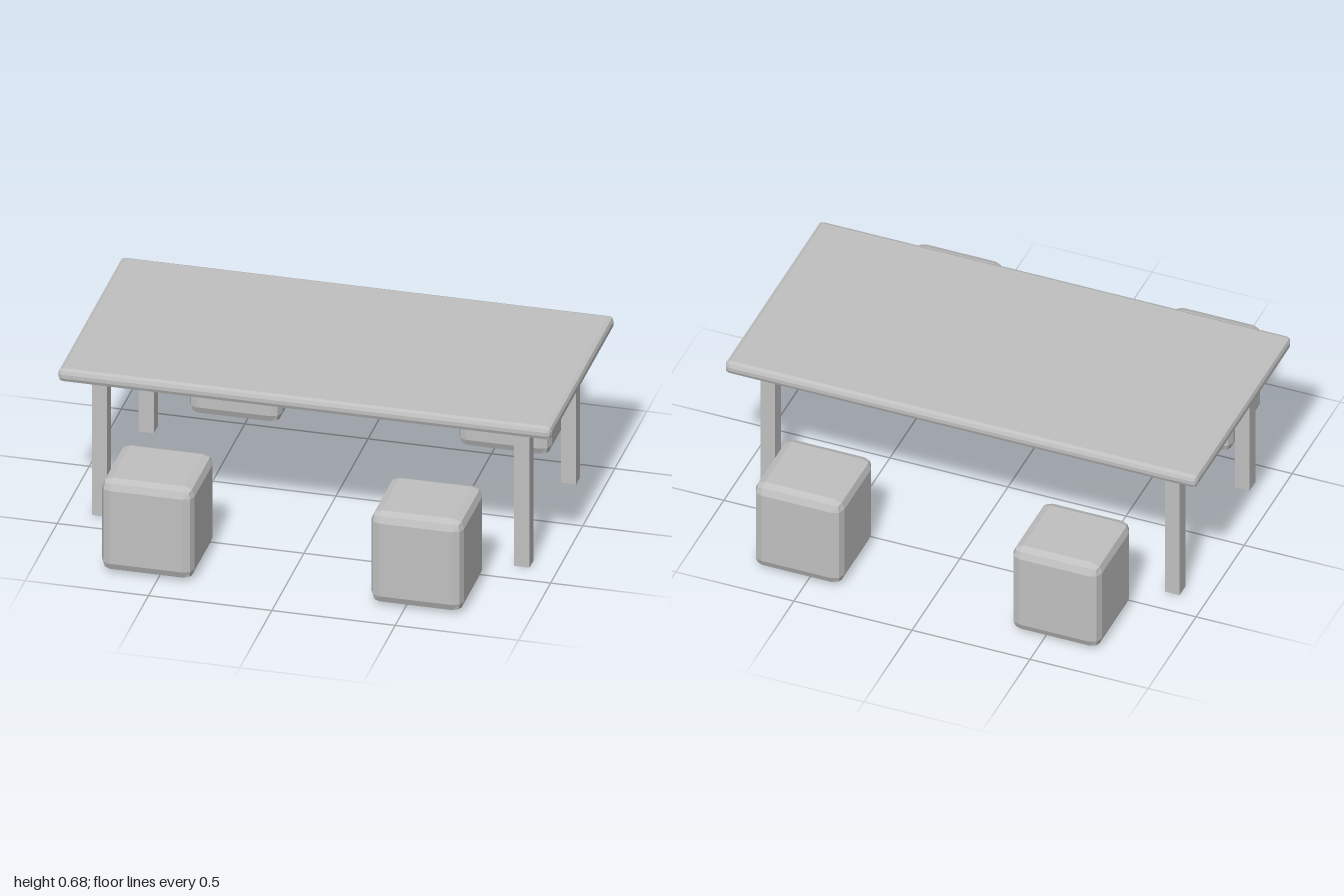
import * as THREE from 'three';
import { RoundedBoxGeometry } from 'three/addons/geometries/RoundedBoxGeometry.js';

export function createModel() {
  const model = new THREE.Group();
  model.name = 'diningTable';
  const grey = new THREE.MeshStandardMaterial({ color: 0xc0c0c0, flatShading: true });
  grey.name = 'plain grey';

  const add = (name, geometry, x, y, z) => {
    const mesh = new THREE.Mesh(geometry, grey);
    mesh.name = name;
    mesh.position.set(x, y, z);
    model.add(mesh);
  };

  // Table top with softened edges
  add('tableTop', new RoundedBoxGeometry(2, 0.056, 1, 1, 0.02), 0, 0.653, 0);

  // One leg and one cube stool in each quarter
  const leg = new THREE.BoxGeometry(0.062, 0.63, 0.062);
  const stool = new RoundedBoxGeometry(0.375, 0.402, 0.36, 1, 0.04);
  for (const [sideName, sx] of [['Left', 1], ['Right', -1]]) {
    for (const [endName, sz] of [['front', 1], ['back', -1]]) {
      add(`${endName}${sideName}Leg`, leg, sx * 0.856, 0.315, sz * 0.364);
      add(`${endName}${sideName}Stool`, stool, sx * 0.546, 0.207, sz * 0.683);
    }
  }
  return model;
}
